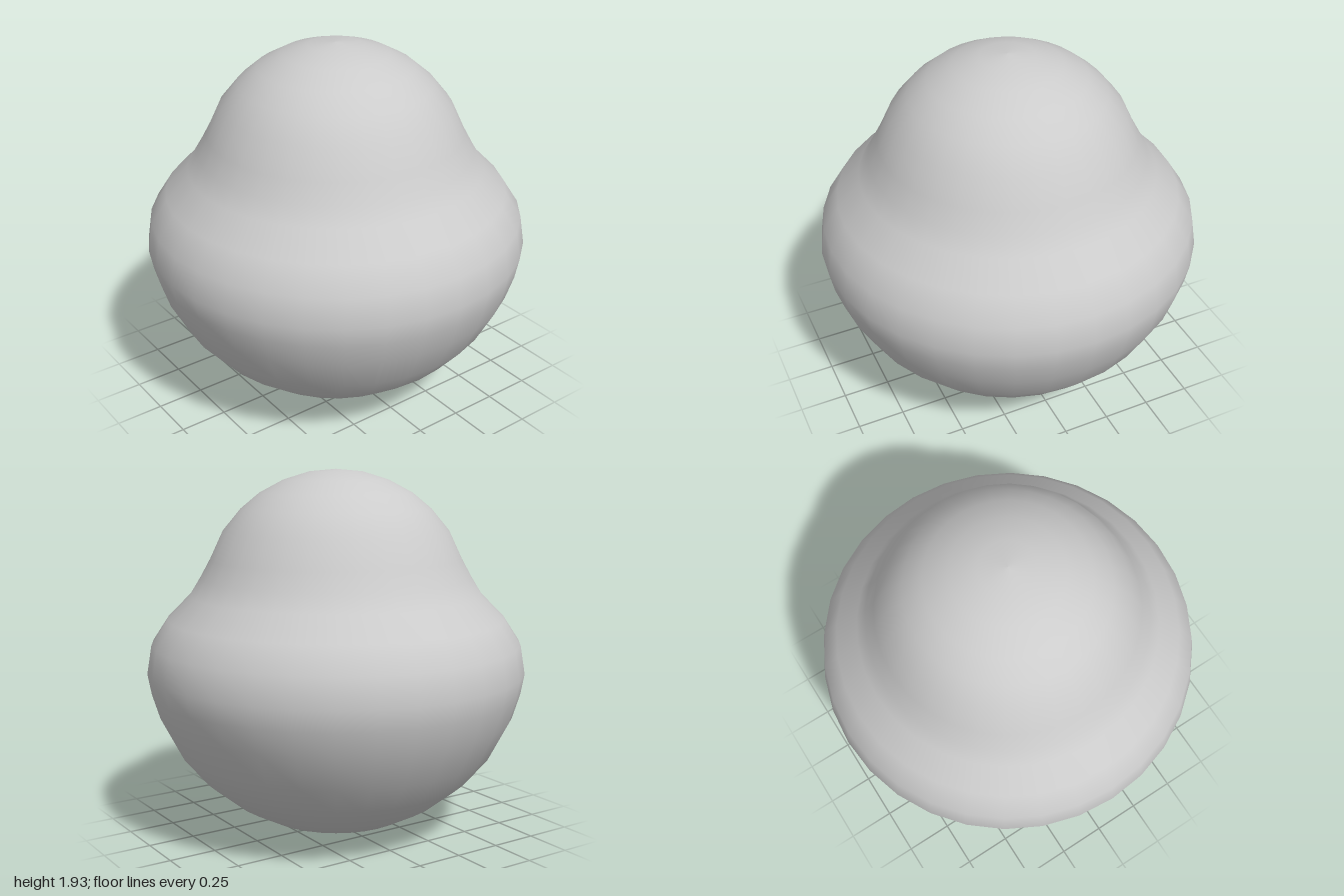
import * as THREE from 'three';

export function createModel() {
  const model = new THREE.Group();

  // Outline from the bottom pole, round the belly, over the shoulder to the top pole
  const profile = [
    [0, 0], [0.2, 0.023], [0.39, 0.083], [0.56, 0.175], [0.72, 0.305],
    [0.845, 0.455], [0.94, 0.64], [0.98, 0.77], [1, 0.88], [0.975, 1.03],
    [0.89, 1.16], [0.77, 1.28], [0.715, 1.37], [0.663, 1.465], [0.595, 1.61],
    [0.5, 1.725], [0.4, 1.808], [0.275, 1.875], [0.14, 1.917], [0, 1.93],
  ].map(([r, y]) => new THREE.Vector2(r, y));

  // Smooth round body with a domed head
  const body = new THREE.Mesh(
    new THREE.LatheGeometry(profile, 32),
    new THREE.MeshStandardMaterial({ color: 0xcccccc }),
  );
  body.name = 'domedBody';
  model.add(body);

  return model;
}
